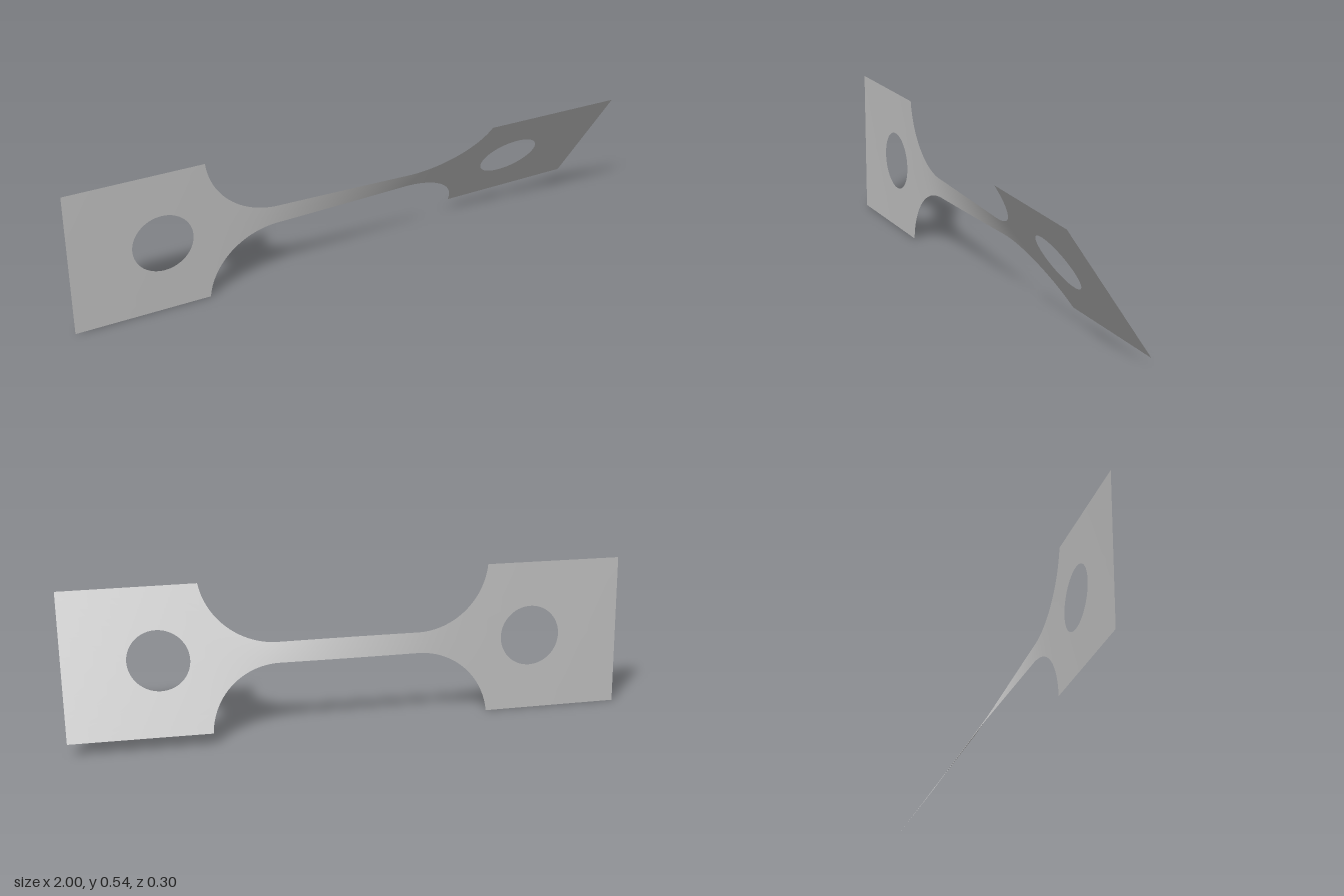
import * as THREE from 'three';
import { mergeVertices } from 'three/addons/utils/BufferGeometryUtils.js';

const HALF = 0.27, NECK = 0.037;                 // half widths of tab and neck
const FILLET_X = 0.25, FILLET_R = 0.26;          // fillet centre and radius
const HOLE_X = 0.67, HOLE_R = 0.109;
const TWIST = THREE.MathUtils.degToRad(33.7);
const FILLET_END = FILLET_X + Math.sqrt(FILLET_R ** 2 - (NECK + FILLET_R - HALF) ** 2);

// Half width of the outline at x
function halfWidth(x) {
  const a = Math.abs(x);
  if (a <= FILLET_X) return NECK;
  if (a >= FILLET_END) return HALF;
  return NECK + FILLET_R - Math.sqrt(FILLET_R ** 2 - (a - FILLET_X) ** 2);
}

// Half height of the hole at x
function holeHeight(x) {
  const d = Math.abs(x) - HOLE_X;
  return Math.sqrt(Math.max(0, HOLE_R ** 2 - d * d));
}

// Twist builds up faster where the strip is narrow
const STEPS = 2000;
const twistTable = [0];
for (let i = 0; i < STEPS; i++) {
  const x = -1 + (2 * (i + 0.5)) / STEPS;
  twistTable.push(twistTable[i] + Math.pow(halfWidth(x), -1.5));
}
function twistAt(x) {
  const t = THREE.MathUtils.clamp(((x + 1) / 2) * STEPS, 0, STEPS);
  const i = Math.min(STEPS - 1, Math.floor(t));
  const v = THREE.MathUtils.lerp(twistTable[i], twistTable[i + 1], t - i);
  return (TWIST * v) / twistTable[STEPS];
}

// Column positions, denser round the curves, mirrored about x = 0
function columns() {
  const half = [];
  for (let i = 1; i <= 20; i++) half.push((FILLET_X * i) / 20);
  const sweep = Math.asin((FILLET_END - FILLET_X) / FILLET_R);
  for (let i = 1; i <= 28; i++) half.push(FILLET_X + FILLET_R * Math.sin((sweep * i) / 28));
  for (let i = 0; i <= 36; i++) half.push(HOLE_X - HOLE_R * Math.cos((Math.PI * i) / 36));
  for (let i = 1; i <= 6; i++) half.push(HOLE_X + HOLE_R + ((1 - HOLE_X - HOLE_R) * i) / 6);
  return [...half.map((x) => -x).reverse(), 0, ...half];
}

// Twisted sheet, made of an upper and a lower band that part round the holes
function sheetGeometry() {
  const xs = columns(), rows = 8, pos = [], index = [];
  for (const side of [1, -1]) {
    const base = pos.length / 3;
    xs.forEach((x, c) => {
      const angle = twistAt(x);
      for (let r = 0; r <= rows; r++) {
        const v = side * THREE.MathUtils.lerp(holeHeight(x), halfWidth(x), r / rows);
        pos.push(x, HALF + v * Math.cos(angle), v * Math.sin(angle));
        if (c === 0 || r === 0) continue;
        const d = base + c * (rows + 1) + r, b = d - 1;
        const u = d - rows - 1, a = u - 1;
        if (side > 0) index.push(a, b, d, a, d, u);
        else index.push(a, d, b, a, u, d);
      }
    });
  }
  const geo = new THREE.BufferGeometry();
  geo.setAttribute('position', new THREE.Float32BufferAttribute(pos, 3));
  geo.setIndex(index);
  const merged = mergeVertices(geo, 1e-5);
  merged.computeVertexNormals();
  return merged;
}

export function createModel() {
  const group = new THREE.Group();
  group.name = 'twistedTestStrip';
  const grey = new THREE.MeshStandardMaterial({ color: 0xc0c0c0, side: THREE.DoubleSide });
  grey.name = 'light grey';
  const sheet = new THREE.Mesh(sheetGeometry(), grey);
  sheet.name = 'twistedSheet';
  group.add(sheet);
  return group;
}
